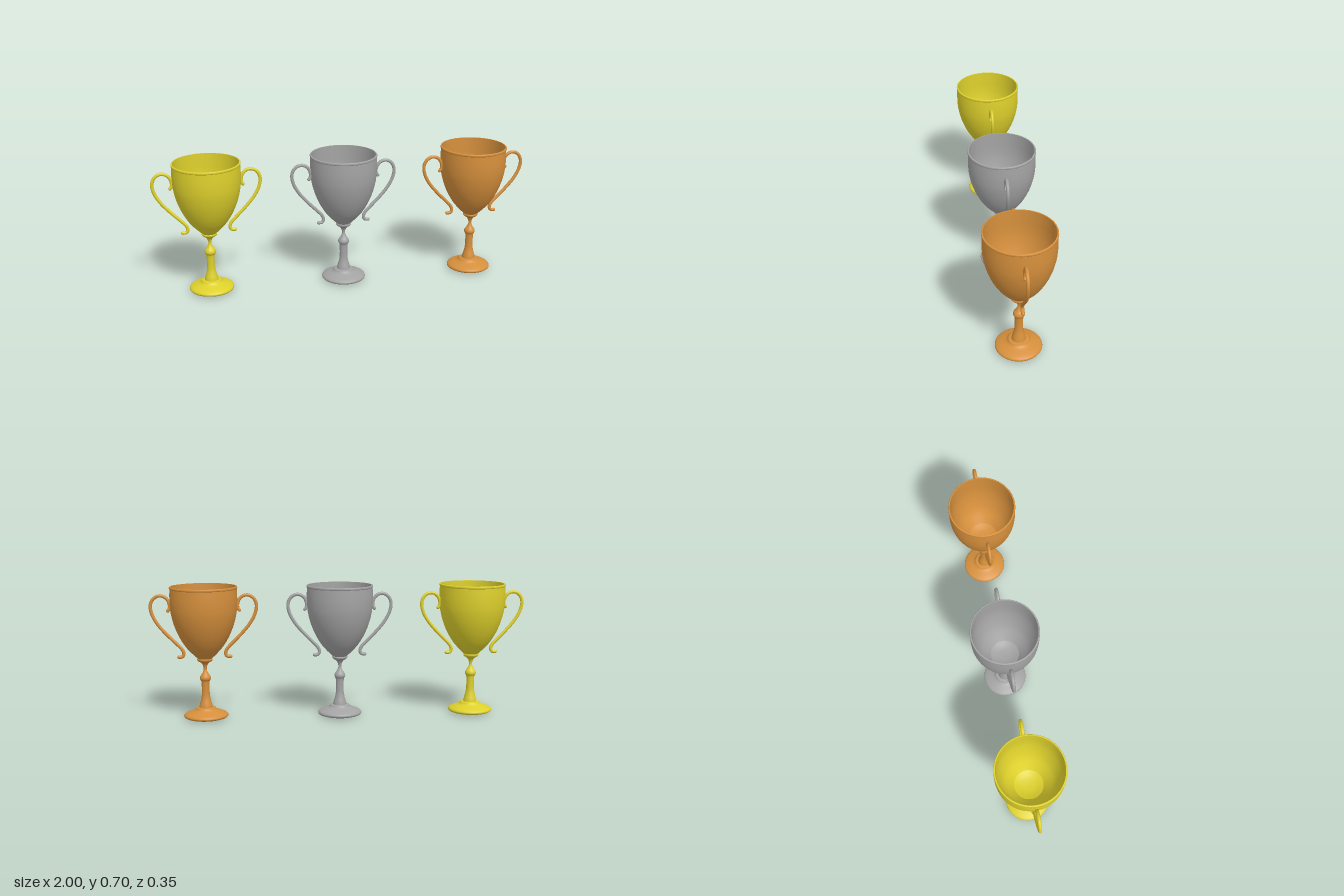
import * as THREE from 'three';

const v2 = (p) => new THREE.Vector2(p[0], p[1]);

// Lathe a smooth profile, listed upwards for outer faces and downwards for inner ones
function turned(name, points, material, steps = 4) {
  const curve = new THREE.SplineCurve(points.map(v2));
  const profile = steps ? curve.getPoints((points.length - 1) * steps) : points.map(v2);
  const mesh = new THREE.Mesh(new THREE.LatheGeometry(profile, 64), material);
  mesh.name = name;
  return mesh;
}

const FOOT = [[0.1, 0.003], [0.113, 0.008], [0.117, 0.016], [0.111, 0.025], [0.092, 0.034], [0.067, 0.043], [0.056, 0.05], [0.051, 0.057]];
const STEM = [[0.036, 0.059], [0.033, 0.075], [0.026, 0.1], [0.0215, 0.125], [0.0205, 0.16], [0.022, 0.198], [0.027, 0.208],
  [0.0295, 0.217], [0.026, 0.229], [0.016, 0.243], [0.0095, 0.257], [0.008, 0.268], [0.011, 0.283], [0.02, 0.298], [0.034, 0.307], [0.039, 0.312]];
const BOWL = [[0.037, 0.322], [0.068, 0.352], [0.1, 0.389], [0.131, 0.441], [0.155, 0.5], [0.17, 0.56], [0.175, 0.61], [0.1755, 0.65], [0.174, 0.691]];
const LINING = [[0.169, 0.704], [0.168, 0.65], [0.167, 0.61], [0.162, 0.56], [0.147, 0.5], [0.122, 0.441], [0.075, 0.379]];

// Handle centre line, from the upper curl down to the lower curl
const HANDLE = [[0.186, 0.577], [0.178, 0.588], [0.177, 0.612], [0.188, 0.638], [0.21, 0.654], [0.237, 0.655], [0.262, 0.638], [0.275, 0.605],
  [0.268, 0.56], [0.24, 0.507], [0.195, 0.453], [0.148, 0.405], [0.116, 0.37], [0.109, 0.348], [0.117, 0.333], [0.136, 0.331]];

function makeHandle(side, material) {
  const group = new THREE.Group();
  group.name = side > 0 ? 'leftHandle' : 'rightHandle';
  const path = new THREE.CatmullRomCurve3(HANDLE.map(([x, y]) => new THREE.Vector3(x * side, y, 0)));
  const r = 0.0088;
  const bar = new THREE.Mesh(new THREE.TubeGeometry(path, 90, r, 12), material);
  bar.name = 'handleBar';
  group.add(bar);
  // Rounded ends
  for (const t of [0, 1]) {
    const tip = new THREE.Mesh(new THREE.SphereGeometry(r, 12, 8), material);
    tip.name = 'handleTip';
    tip.position.copy(path.getPoint(t));
    group.add(tip);
  }
  return group;
}

function makeCup(name, color) {
  const material = new THREE.MeshStandardMaterial({ color });
  const cup = new THREE.Group();
  cup.name = name;
  cup.add(
    turned('footUnderside', [[0, 0], [0.1, 0.003]], material, 0),
    turned('foot', FOOT, material),
    turned('footTop', [[0.051, 0.057], [0.034, 0.06]], material, 0),
    turned('stem', STEM, material),
    turned('collar', [[0.039, 0.312], [0.0405, 0.316], [0.04, 0.321], [0.035, 0.323]], material),
    turned('bowl', BOWL, material),
    turned('rim', [[0.174, 0.691], [0.1765, 0.694], [0.1765, 0.701], [0.174, 0.704], [0.169, 0.704]], material, 2),
    turned('bowlLining', LINING, material),
    turned('bowlFloor', [[0.075, 0.379], [0.04, 0.366], [0, 0.362]], material),
    makeHandle(1, material),
    makeHandle(-1, material)
  );
  return cup;
}

export function createModel() {
  const model = new THREE.Group();
  model.name = 'trophyCups';
  const cups = [['goldCup', 0xddd02c], ['silverCup', 0xa3a3a3], ['bronzeCup', 0xd58f3c]];
  cups.forEach(([name, color], i) => {
    const cup = makeCup(name, color);
    cup.position.x = (i - 1) * 0.716;
    model.add(cup);
  });
  return model;
}
